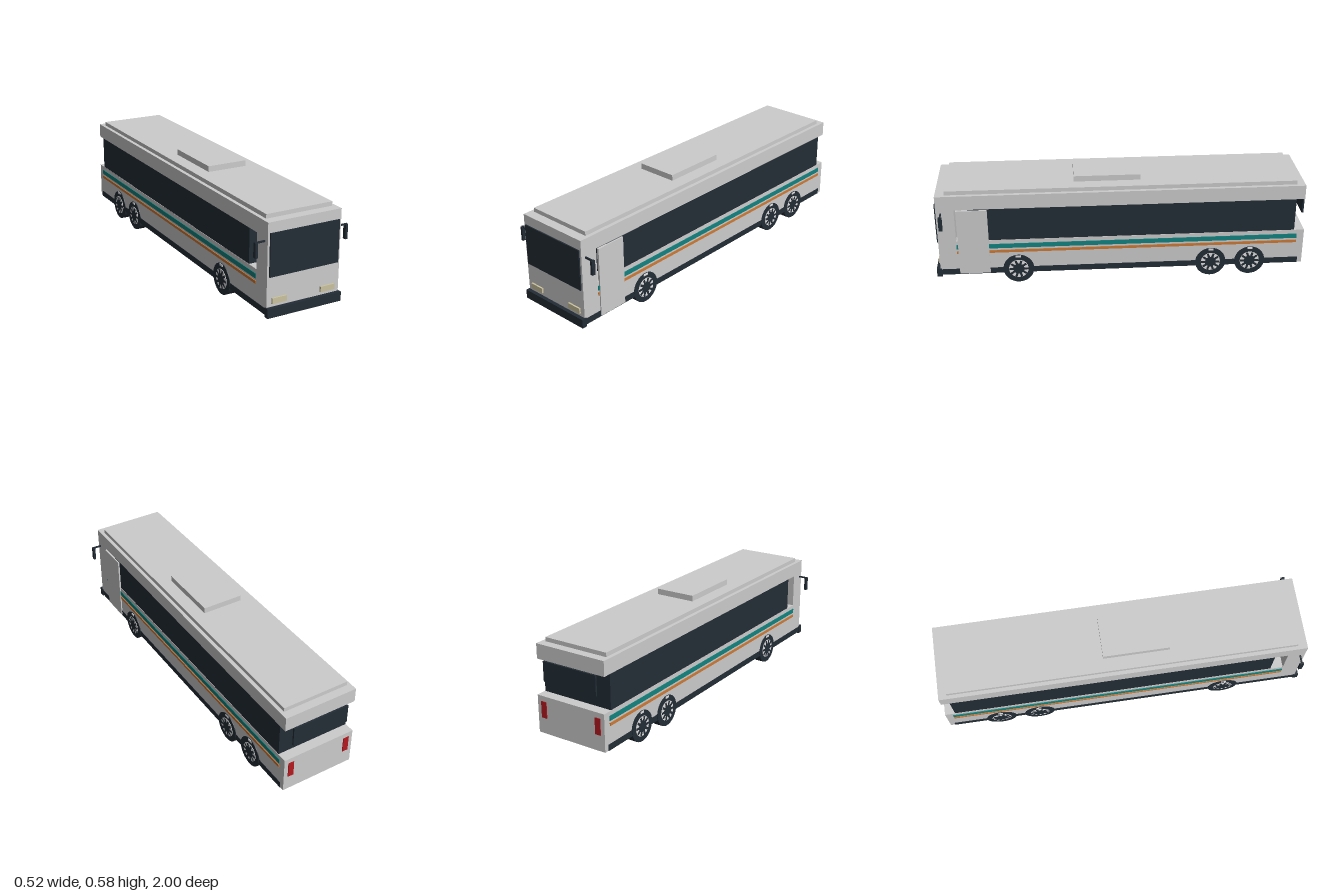
import * as THREE from 'three';

const paint = (name, color) => {
  const m = new THREE.MeshStandardMaterial({ color });
  m.name = name;
  return m;
};

export function createModel() {
  const bus = new THREE.Group();
  bus.name = 'bus';
  const body = paint('body grey', 0xcccccc);
  const dark = paint('dark glass and rubber', 0x232d36);
  const teal = paint('teal stripe', 0x12837f);
  const orange = paint('orange stripe', 0xcc7a38);
  const red = paint('tail light red', 0xb5191f);
  const cream = paint('headlight cream', 0xcbc3a0);
  const silver = paint('wheel silver', 0xe0e0e0);

  // Box given by its low and high corner on each axis
  const box = (name, mat, [x0, x1], [y0, y1], [z0, z1], parent = bus) => {
    const mesh = new THREE.Mesh(new THREE.BoxGeometry(x1 - x0, y1 - y0, z1 - z0), mat);
    mesh.position.set((x0 + x1) / 2, (y0 + y1) / 2, (z0 + z1) / 2);
    mesh.name = name;
    parent.add(mesh);
    return mesh;
  };
  // Span on the left (s = 1) or right (s = -1) side
  const side = (s, a, b) => (s > 0 ? [a, b] : [-b, -a]);

  // Main shell
  box('lowerBody', body, [-0.205, 0.205], [0.06, 0.26], [-0.995, 0.98]);
  box('windowBand', dark, [-0.203, 0.203], [0.26, 0.446], [-0.94, 0.815]);
  box('frontCab', body, [-0.205, 0.205], [0.26, 0.446], [0.885, 0.98]);
  box('roofBand', body, [-0.205, 0.205], [0.446, 0.525], [-0.985, 0.98]);
  box('roofCap', body, [-0.185, 0.185], [0.525, 0.547], [-0.94, 0.93]);
  box('roofUnit', body, [-0.112, 0.112], [0.547, 0.578], [-0.105, 0.25]);

  // Front and rear details
  box('windshield', dark, [-0.194, 0.194], [0.252, 0.472], [0.98, 0.987]);
  box('frontBumper', dark, [-0.21, 0.21], [0.05, 0.098], [0.972, 1]);
  box('rearWindow', dark, [-0.16, 0.16], [0.34, 0.446], [-0.995, -0.986]);
  box('door', body, [0.2, 0.212], [0.065, 0.441], [0.712, 0.876]);

  // Wheel face: a dark disc with ten spokes
  const star = new THREE.Shape();
  const spokes = 10;
  for (let i = 0; i < spokes; i++) {
    const a = (i / spokes) * Math.PI * 2;
    [[0.03, -0.2], [0.051, -0.11], [0.051, 0.11], [0.03, 0.2]].forEach(([r, d], k) => {
      const x = r * Math.cos(a + d), y = r * Math.sin(a + d);
      if (i + k === 0) star.moveTo(x, y);
      else star.lineTo(x, y);
    });
  }
  const starGeo = new THREE.ExtrudeGeometry(star, { depth: 0.002, bevelEnabled: false });
  const tyreGeo = new THREE.CylinderGeometry(0.083, 0.083, 0.048, 32).rotateZ(-Math.PI / 2);
  const rimGeo = new THREE.CylinderGeometry(0.053, 0.053, 0.004, 32).rotateZ(-Math.PI / 2);

  const addWheel = (s, z) => {
    const wheel = new THREE.Group();
    wheel.name = 'wheel';
    wheel.position.set(0, 0.083, z);
    const tyre = new THREE.Mesh(tyreGeo, dark);
    tyre.name = 'tyre';
    tyre.position.x = s * 0.185;
    const rim = new THREE.Mesh(rimGeo, silver);
    rim.name = 'rim';
    rim.position.x = s * 0.209;
    const hub = new THREE.Mesh(starGeo, dark);
    hub.name = 'hubSpokes';
    hub.rotation.y = s * Math.PI / 2;
    hub.position.x = s * 0.211;
    wheel.add(tyre, rim, hub);
    box('wheelMarker', silver, side(s, 0.205, 0.212), [0.07, 0.081], [-0.014, 0.014], wheel);
    bus.add(wheel);
  };

  for (const s of [1, -1]) {
    // Side trim
    box('skirt', dark, side(s, 0.2, 0.207), [0.059, 0.092], [-0.97, 0.972]);
    box('tealStripe', teal, side(s, 0.203, 0.209), [0.212, 0.237], [-0.955, 0.885]);
    box('orangeStripe', orange, side(s, 0.203, 0.209), [0.185, 0.2], [-0.955, 0.885]);

    // Lights
    box('headlight', cream, side(s, 0.097, 0.178), [0.115, 0.144], [0.98, 0.989]);
    box('tailLight', red, side(s, 0.15, 0.182), [0.145, 0.232], [-0.999, -0.994]);

    // Mirror on its arm
    box('mirrorArm', dark, side(s, 0.2, 0.259), [0.423, 0.431], [0.95, 0.958]);
    box('mirror', dark, side(s, 0.247, 0.26), [0.352, 0.428], [0.944, 0.964]);

    for (const z of [0.56, -0.487, -0.703]) addWheel(s, z);
  }
  return bus;
}
